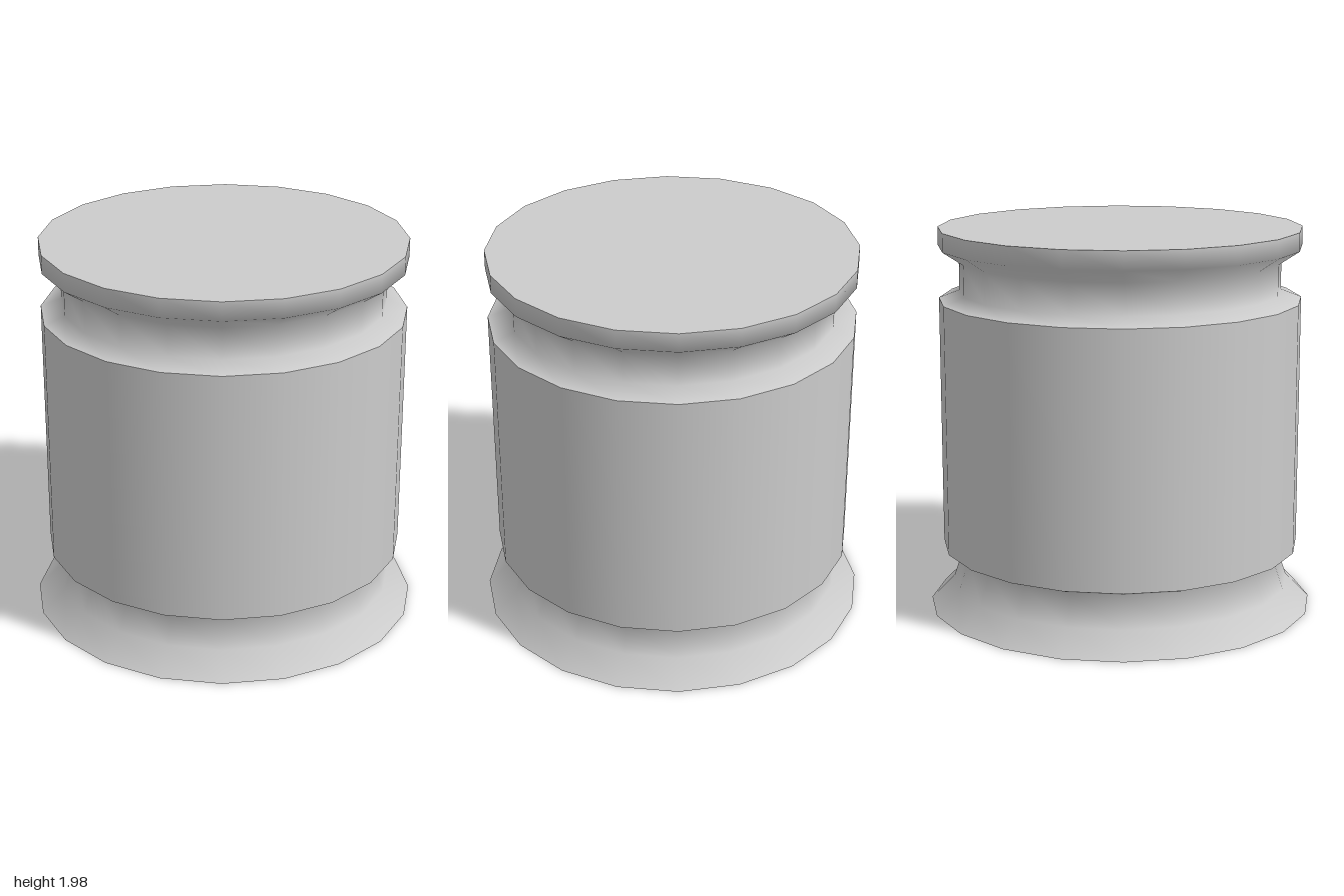
import * as THREE from 'three';

const SIDES = 20;

export function createModel() {
  const group = new THREE.Group();
  const material = new THREE.MeshStandardMaterial({ color: 0xcccccc, side: THREE.DoubleSide });

  const add = (name, geometry) => {
    const mesh = new THREE.Mesh(geometry, material);
    mesh.name = name;
    group.add(mesh);
    return mesh;
  };
  // Open shell turned from [radius, height] pairs, bottom to top
  const turn = (name, profile) =>
    add(name, new THREE.LatheGeometry(profile.map(([r, y]) => new THREE.Vector2(r, y)), SIDES));

  // Flared skirt, open underneath, pinched in below the body
  turn('baseSkirt', [[1, 0], [0.88, 0.12], [0.825, 0.28], [0.93, 0.32]]);

  // Straight drum wall
  turn('body', [[0.93, 0.32], [0.93, 1.61]]);

  // Recessed groove and the rim above it
  turn('neckAndRim', [[0.93, 1.61], [0.825, 1.65], [0.825, 1.81], [0.93, 1.88], [0.93, 1.975]]);

  // Flat lid
  const lid = add('lid', new THREE.CircleGeometry(0.93, SIDES).rotateX(-Math.PI / 2));
  lid.position.y = 1.975;

  return group;
}
